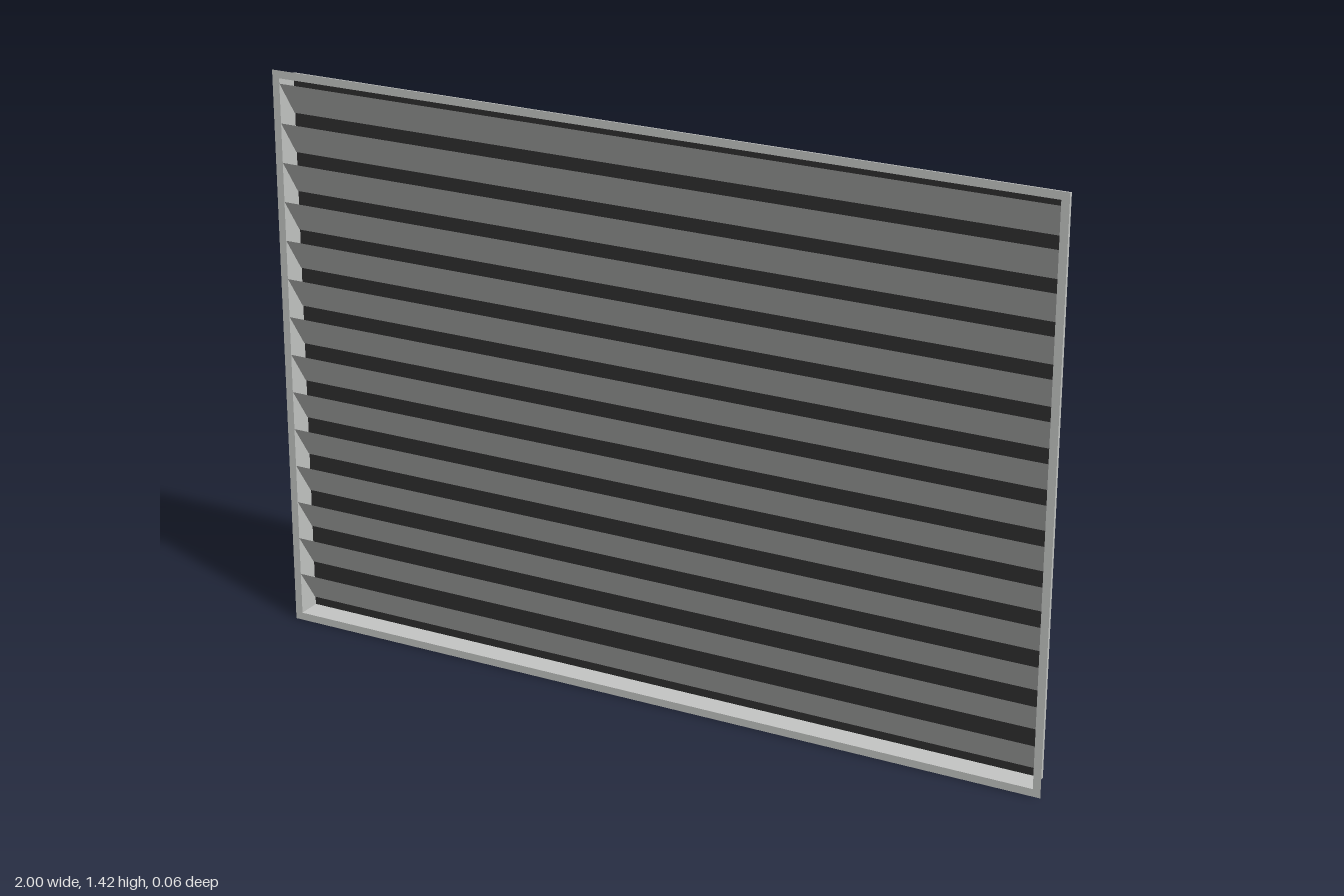
import * as THREE from 'three';

export function createModel() {
  const group = new THREE.Group();
  group.name = 'louvredVent';

  const frameGrey = new THREE.MeshStandardMaterial({ color: 0xc4c6c4, side: THREE.DoubleSide });
  frameGrey.name = 'frameGrey';
  const backingBlack = new THREE.MeshStandardMaterial({ color: 0x2e2e2e, side: THREE.DoubleSide });
  backingBlack.name = 'backingBlack';

  const W = 2, H = 1.42, D = 0.06, lip = 0.019;
  const w = W - 2 * lip, h = H - 2 * lip, midY = H / 2;

  function add(name, geometry, material, x, y, z, rx = 0, ry = 0) {
    const mesh = new THREE.Mesh(geometry, material);
    mesh.name = name;
    mesh.position.set(x, y, z);
    mesh.rotation.set(rx, ry, 0);
    group.add(mesh);
  }

  // Flat sheet flange around the front opening
  const outline = new THREE.Shape([[-W, -H], [W, -H], [W, H], [-W, H]]
    .map(([x, y]) => new THREE.Vector2(x / 2, y / 2)));
  outline.holes.push(new THREE.Path([[-w, -h], [-w, h], [w, h], [w, -h]]
    .map(([x, y]) => new THREE.Vector2(x / 2, y / 2))));
  add('frontFlange', new THREE.ShapeGeometry(outline), frameGrey, 0, midY, D / 2);

  // Sheet walls of the shallow box, facing outwards
  for (const s of [-1, 1]) {
    add(s > 0 ? 'leftWall' : 'rightWall', new THREE.PlaneGeometry(D, h), frameGrey,
      s * w / 2, midY, 0, 0, s * Math.PI / 2);
    add(s > 0 ? 'topWall' : 'bottomWall', new THREE.PlaneGeometry(w, D), frameGrey,
      0, midY + s * h / 2, 0, -s * Math.PI / 2);
  }

  // Dark backing sheet
  add('backPanel', new THREE.PlaneGeometry(w, h), backingBlack, 0, midY, -D / 2, 0, Math.PI);

  // Slats slope down from the front edge to the back
  const count = 14, pitch = 0.0971, rise = 0.0855, run = 0.057;
  const slat = new THREE.PlaneGeometry(w, Math.hypot(rise, run));
  for (let i = 0; i < count; i++) {
    const y = midY + 0.004 + (i - (count - 1) / 2) * pitch;
    add('slat' + (i + 1), slat, frameGrey, 0, y, 0.001, Math.atan2(run, rise));
  }
  return group;
}
